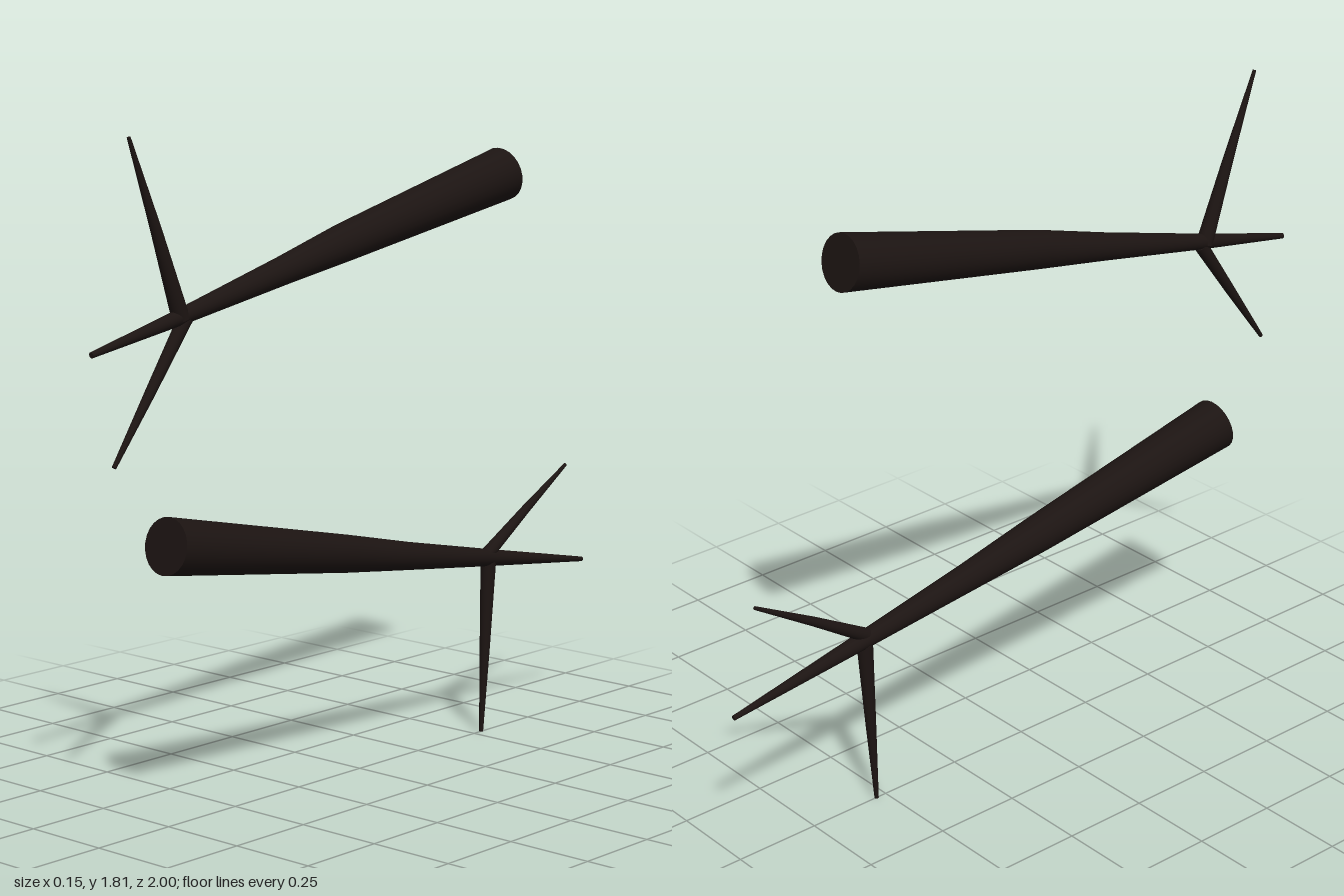
import * as THREE from 'three';

const SIDES = 24;
const bark = new THREE.MeshStandardMaterial({ color: 0x1c1412 });

// Tapered round limb in the plane x = 0; each station is [z, y, radius].
function limb(name, stations) {
  const centres = stations.map(([z, y]) => new THREE.Vector3(0, y, z));
  const across = new THREE.Vector3(1, 0, 0);
  const pos = [], index = [];

  const addRing = (i) => {
    const base = pos.length / 3;
    const t = centres[Math.min(i + 1, centres.length - 1)].clone()
      .sub(centres[Math.max(i - 1, 0)]).normalize();
    const n = t.cross(across);
    for (let j = 0; j < SIDES; j++) {
      const a = (j / SIDES) * Math.PI * 2;
      const p = centres[i].clone()
        .addScaledVector(across, stations[i][2] * Math.cos(a))
        .addScaledVector(n, stations[i][2] * Math.sin(a));
      pos.push(p.x, p.y, p.z);
    }
    return base;
  };

  // side wall
  const rings = stations.map((_, i) => addRing(i));
  for (let i = 0; i < rings.length - 1; i++) {
    for (let j = 0; j < SIDES; j++) {
      const k = (j + 1) % SIDES;
      const a = rings[i] + j, b = rings[i] + k, c = rings[i + 1] + k, d = rings[i + 1] + j;
      index.push(a, b, d, b, c, d);
    }
  }

  // flat caps with their own vertices, so the rims stay sharp
  for (const i of [0, stations.length - 1]) {
    const base = addRing(i);
    for (let j = 1; j < SIDES - 1; j++) {
      if (i === 0) index.push(base, base + j + 1, base + j);
      else index.push(base, base + j, base + j + 1);
    }
  }

  const geometry = new THREE.BufferGeometry();
  geometry.setAttribute('position', new THREE.Float32BufferAttribute(pos, 3));
  geometry.setIndex(index);
  geometry.computeVertexNormals();
  const mesh = new THREE.Mesh(geometry, bark);
  mesh.name = name;
  return mesh;
}

function stick(name, parts) {
  const group = new THREE.Group();
  group.name = name;
  for (const [part, stations] of Object.entries(parts)) group.add(limb(part, stations));
  return group;
}

export function createModel() {
  const model = new THREE.Group();
  model.name = 'forkedSticks';

  model.add(stick('upperStick', {
    shaft: [[-0.605, 1.63, 0.077], [0.06, 1.486, 0.053], [0.3, 1.43, 0.039],
      [0.68, 1.343, 0.022], [1, 1.275, 0.008]],
    upperTwig: [[0.685, 1.335, 0.024], [0.77, 1.57, 0.015], [0.862, 1.81, 0.005]],
    lowerTwig: [[0.67, 1.335, 0.02], [0.8, 1.155, 0.014], [0.928, 0.98, 0.006]],
  }));

  model.add(stick('lowerStick', {
    shaft: [[0.748, 0.75, 0.077], [0.06, 0.624, 0.053], [-0.2, 0.577, 0.04],
      [-0.56, 0.516, 0.025], [-1, 0.443, 0.007]],
    upperTwig: [[-0.55, 0.525, 0.02], [-0.73, 0.635, 0.013], [-0.917, 0.744, 0.005]],
    lowerTwig: [[-0.56, 0.515, 0.023], [-0.546, 0.25, 0.015], [-0.532, 0, 0.006]],
  }));

  return model;
}
